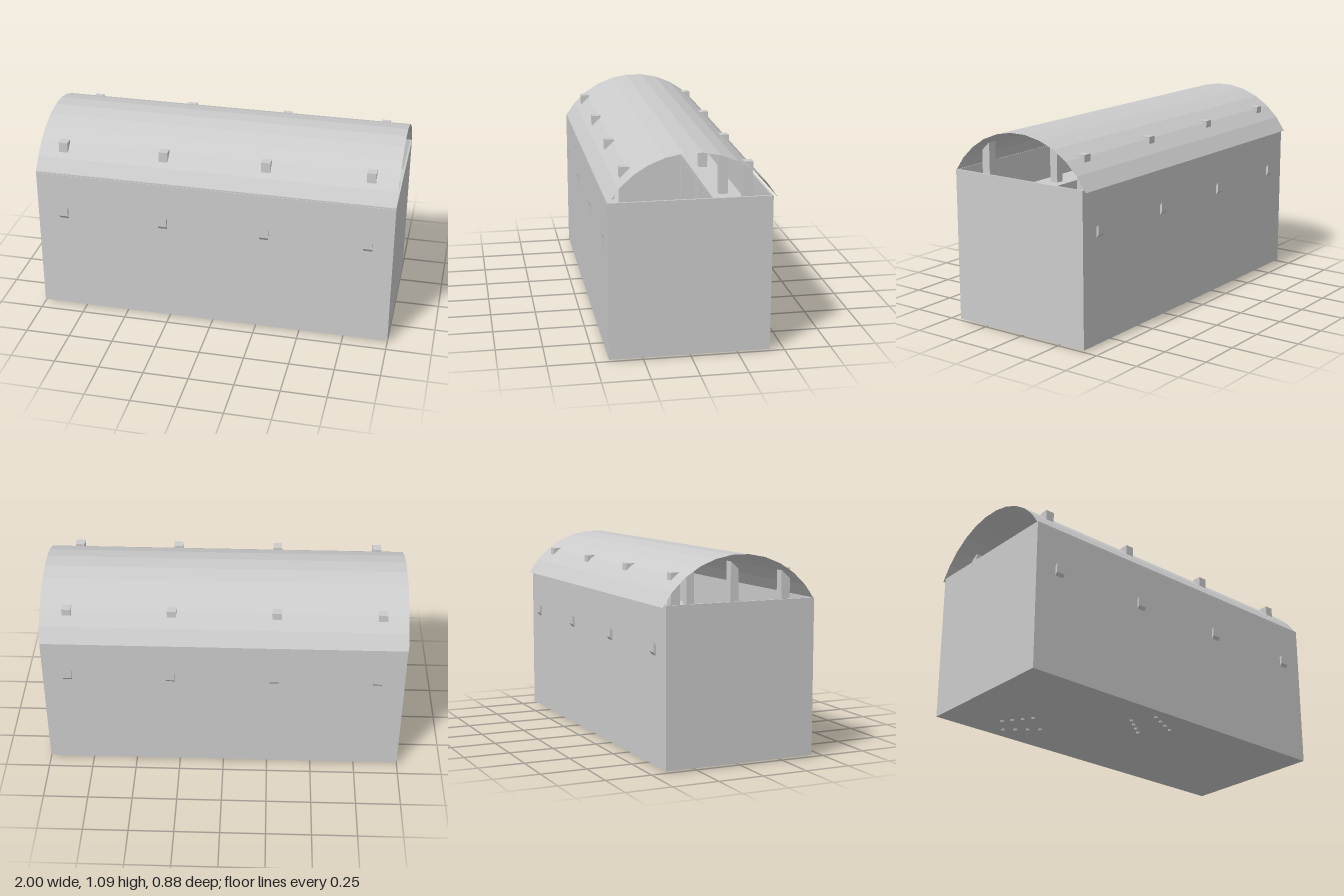
import * as THREE from 'three';

const grey = new THREE.MeshStandardMaterial({ color: 0xcccccc, flatShading: true });
const sheet = new THREE.MeshStandardMaterial({ color: 0xcccccc, flatShading: true, side: THREE.DoubleSide });

export function createModel() {
  const model = new THREE.Group();
  const midZ = 0.005;

  const add = (name, geometry, material = grey) => {
    const mesh = new THREE.Mesh(geometry, material);
    mesh.name = name;
    model.add(mesh);
    return mesh;
  };
  const box = (name, w, h, d, x, y, z) =>
    add(name, new THREE.BoxGeometry(w, h, d)).position.set(x, y, z);

  // Open-topped wagon body
  const t = 0.01;
  box('floor', 2, t, 0.85, 0, 0.015, midZ);
  for (const s of [-1, 1]) {
    box('sideWall', 2, 0.84, t, 0, 0.43, midZ + s * (0.425 - t / 2));
    box('endWall', t, 0.84, 0.85 - 2 * t, s * (1 - t / 2), 0.43, midZ);
    box('bench', 2 - 2 * t, 0.03, 0.17, 0, 0.645, midZ + s * 0.33);
  }

  // Arched canopy: an arc of eleven flat strips
  const radius = 0.503, half = THREE.MathUtils.degToRad(60);
  const arch = new THREE.CylinderGeometry(radius, radius, 2, 11, 1, true, Math.PI / 2 - half, 2 * half);
  arch.rotateZ(Math.PI / 2); // axis along x, arc facing up
  add('canopy', arch, sheet).position.set(0, 1.092 - radius, -0.005);

  // Posts through the canopy, and slanted braces through the side walls
  for (const s of [-1, 1]) {
    for (let i = 0; i < 4; i++) {
      const x = -0.86 + i * 0.571;
      box('post', 0.05, 0.98, 0.05, x, 0.51, midZ + s * 0.32);

      const outer = s * 0.438, inner = s * 0.32;
      const top = s > 0 ? 0.645 : 0.655;
      const profile = new THREE.Shape([
        new THREE.Vector2(outer, top),
        new THREE.Vector2(inner, top - 0.16),
        new THREE.Vector2(inner, top - 0.215),
        new THREE.Vector2(outer, top - 0.055),
      ]);
      const brace = new THREE.ExtrudeGeometry(profile, { depth: 0.05, bevelEnabled: false });
      brace.translate(0, 0, -0.025).rotateY(-Math.PI / 2);
      add('brace', brace).position.set(x + 0.01, 0, midZ);
    }
  }

  // Rows of small studs under the floor: x and z of each row's two ends
  const rows = [
    [0.07, 0.275, -0.11, 0.36],
    [-0.035, 0.13, -0.18, 0.24],
    [-0.47, -0.19, -0.62, -0.33],
    [-0.6, -0.085, -0.7, -0.23],
  ];
  for (const [x0, z0, x1, z1] of rows) {
    for (let i = 0; i < 4; i++) {
      const k = i / 3;
      add('stud', new THREE.CylinderGeometry(0.012, 0.009, 0.012, 6))
        .position.set(x0 + (x1 - x0) * k, 0.006, z0 + (z1 - z0) * k);
    }
  }

  return model;
}
